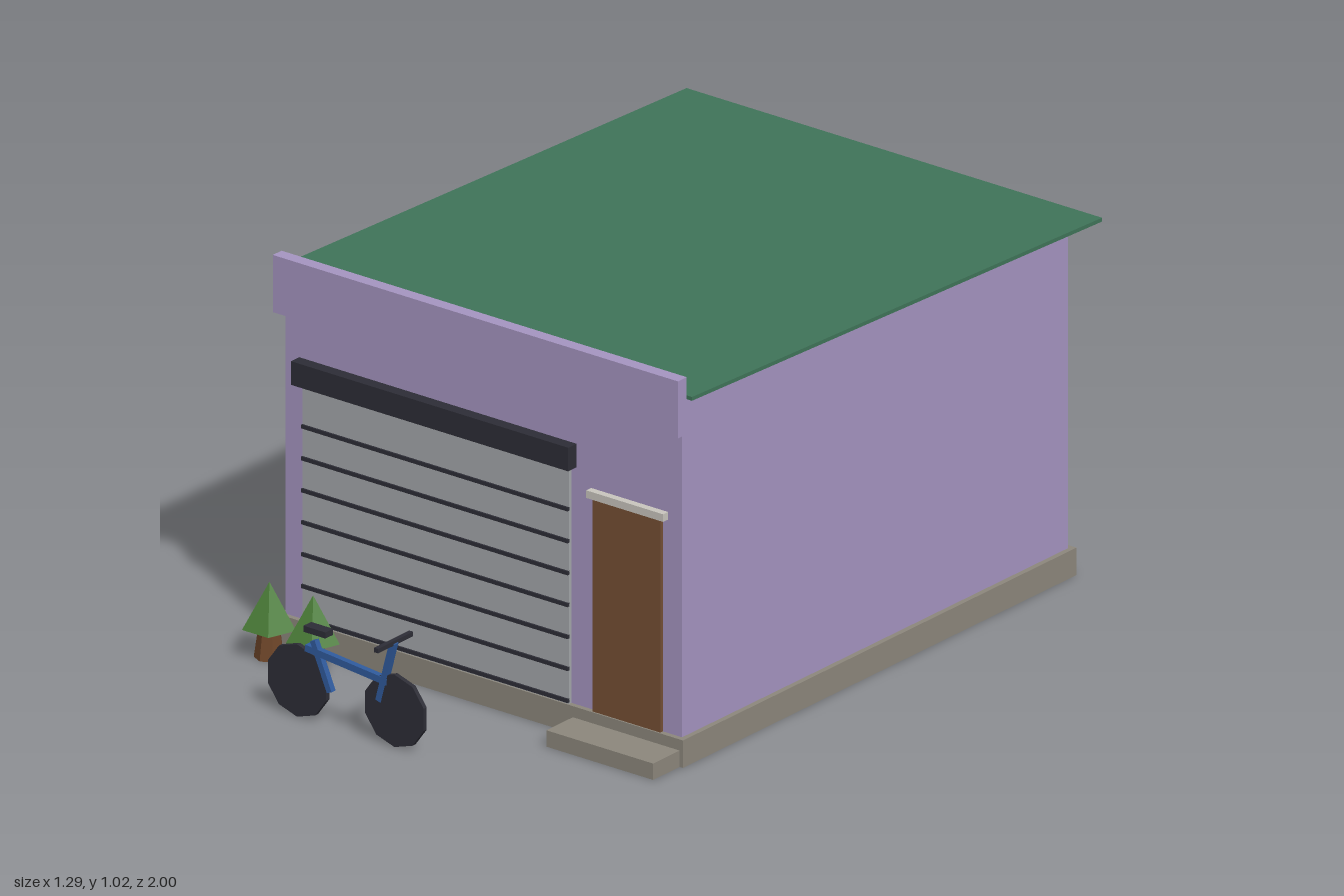
import * as THREE from 'three';

const mat = (name, color, flat = false) => {
  const m = new THREE.MeshStandardMaterial({ color, flatShading: flat });
  m.name = name;
  return m;
};

export function createModel() {
  const wallPaint = mat('lilac wall', 0xa594c0);
  const concrete = mat('concrete', 0x8c877c);
  const roofGreen = mat('roof green', 0x3f7459);
  const steel = mat('shutter grey', 0xa4a7aa);
  const dark = mat('dark', 0x2d2d36, true);
  const wood = mat('door brown', 0x754f34);
  const trim = mat('pale trim', 0xc8c5bd);
  const blue = mat('frame blue', 0x2f5a9c);
  const leaf = mat('leaf green', 0x4a7d38, true);
  const bark = mat('bark', 0x6d4528, true);

  const model = new THREE.Group();
  model.name = 'garage';

  const add = (parent, name, geo, material) => {
    const mesh = new THREE.Mesh(geo, material);
    mesh.name = name;
    parent.add(mesh);
    return mesh;
  };
  // Box given by its extents on each axis
  const box = (parent, name, material, [x0, x1], [y0, y1], [z0, z1]) => {
    const m = add(parent, name, new THREE.BoxGeometry(x1 - x0, y1 - y0, z1 - z0), material);
    m.position.set((x0 + x1) / 2, (y0 + y1) / 2, (z0 + z1) / 2);
    return m;
  };
  // Side profile of [z, y] points, extruded across x
  const profile = (name, material, points, width) => {
    const shape = new THREE.Shape(points.map(([z, y]) => new THREE.Vector2(z, y)));
    const geo = new THREE.ExtrudeGeometry(shape, { depth: width, bevelEnabled: false });
    geo.rotateY(-Math.PI / 2).translate(width / 2, 0, 0);
    return add(model, name, geo, material);
  };

  // Building shell
  box(model, 'foundation', concrete, [-0.627, 0.627], [0, 0.072], [-0.92, 0.604]);
  profile('walls', wallPaint, [[-0.905, 0.06], [0.59, 0.06], [0.59, 0.963], [-0.905, 0.909]], 1.226);
  profile('roof', roofGreen, [[-1, 0.905], [0.588, 0.962], [0.588, 0.972], [-1, 0.915]], 1.284);
  box(model, 'parapet', wallPaint, [-0.626, 0.626], [0.87, 1.02], [0.588, 0.622]);
  box(model, 'doorstep', concrete, [0.287, 0.617], [0, 0.043], [0.6, 0.707]);

  // Roller shutter
  box(model, 'shutter', steel, [-0.552, 0.271], [0.072, 0.7], [0.585, 0.6]);
  box(model, 'shutterHousing', dark, [-0.57, 0.287], [0.694, 0.756], [0.588, 0.622]);
  for (let i = 0; i < 7; i++) {
    const y = 0.081 + i * 0.0838;
    box(model, 'shutterLine', dark, [-0.552, 0.271], [y - 0.005, y + 0.005], [0.598, 0.605]);
  }

  // Door
  box(model, 'door', wood, [0.344, 0.554], [0.072, 0.632], [0.585, 0.6]);
  box(model, 'doorLintel', trim, [0.332, 0.57], [0.632, 0.652], [0.585, 0.609]);

  // Window built facing +z, centred on x
  const makeWindow = (name, width) => {
    const g = new THREE.Group();
    g.name = name;
    const w = width / 2;
    box(g, 'glass', dark, [-w, w], [0.298, 0.602], [-0.005, 0.008]);
    box(g, 'mullion', trim, [-0.006, 0.006], [0.298, 0.602], [0, 0.011]);
    box(g, 'lintel', trim, [-w - 0.012, w + 0.012], [0.6, 0.617], [-0.005, 0.013]);
    box(g, 'sill', trim, [-w - 0.012, w + 0.012], [0.283, 0.3], [-0.005, 0.018]);
    model.add(g);
    return g;
  };
  makeWindow('backWindow', 0.305).position.z = -0.905;
  model.getObjectByName('backWindow').rotation.y = Math.PI;

  // Barred window on the right-hand wall
  const side = makeWindow('sideWindow', 0.265);
  side.rotation.y = -Math.PI / 2;
  side.position.set(-0.613, 0, 0.095);
  for (let i = 0; i < 5; i++) {
    const x = -0.11 + i * 0.055;
    box(side, 'windowBar', dark, [x - 0.004, x + 0.004], [0.3, 0.6], [0.011, 0.019]);
  }
  box(side, 'windowCrossBar', dark, [-0.13, 0.13], [0.446, 0.454], [0.011, 0.019]);

  // Small trees
  for (const x of [-0.582, -0.447]) {
    const tree = new THREE.Group();
    tree.name = 'tree';
    tree.position.set(x, 0, 0.69);
    add(tree, 'trunk', new THREE.CylinderGeometry(0.027, 0.038, 0.08, 7), bark).position.y = 0.04;
    const crown = add(tree, 'crown', new THREE.ConeGeometry(0.069, 0.119, 5), leaf);
    crown.position.y = 0.1375;
    crown.rotation.y = Math.PI;
    model.add(tree);
  }

  // Bicycle
  const bike = new THREE.Group();
  bike.name = 'bicycle';
  bike.position.z = 0.932;
  model.add(bike);
  for (const x of [-0.299, 0.002]) {
    const wheel = add(bike, 'wheel', new THREE.CylinderGeometry(0.095, 0.095, 0.012, 10), dark);
    wheel.rotation.x = Math.PI / 2;
    wheel.position.set(x, 0.095, 0);
  }
  // Straight frame bar between two points in the wheel plane
  const bar = (name, [x0, y0], [x1, y1], thick) => {
    const len = Math.hypot(x1 - x0, y1 - y0);
    const m = add(bike, name, new THREE.BoxGeometry(len, thick, 0.016), blue);
    m.position.set((x0 + x1) / 2, (y0 + y1) / 2, 0);
    m.rotation.z = Math.atan2(y1 - y0, x1 - x0);
  };
  bar('topTube', [-0.273, 0.188], [-0.022, 0.164], 0.018);
  bar('seatTube', [-0.25, 0.212], [-0.198, 0.09], 0.016);
  bar('fork', [-0.048, 0.108], [-0.004, 0.272], 0.016);
  box(bike, 'saddle', dark, [-0.272, -0.204], [0.233, 0.249], [-0.015, 0.015]);
  box(bike, 'handlebar', dark, [-0.011, 0.001], [0.266, 0.278], [-0.068, 0.068]);

  return model;
}
